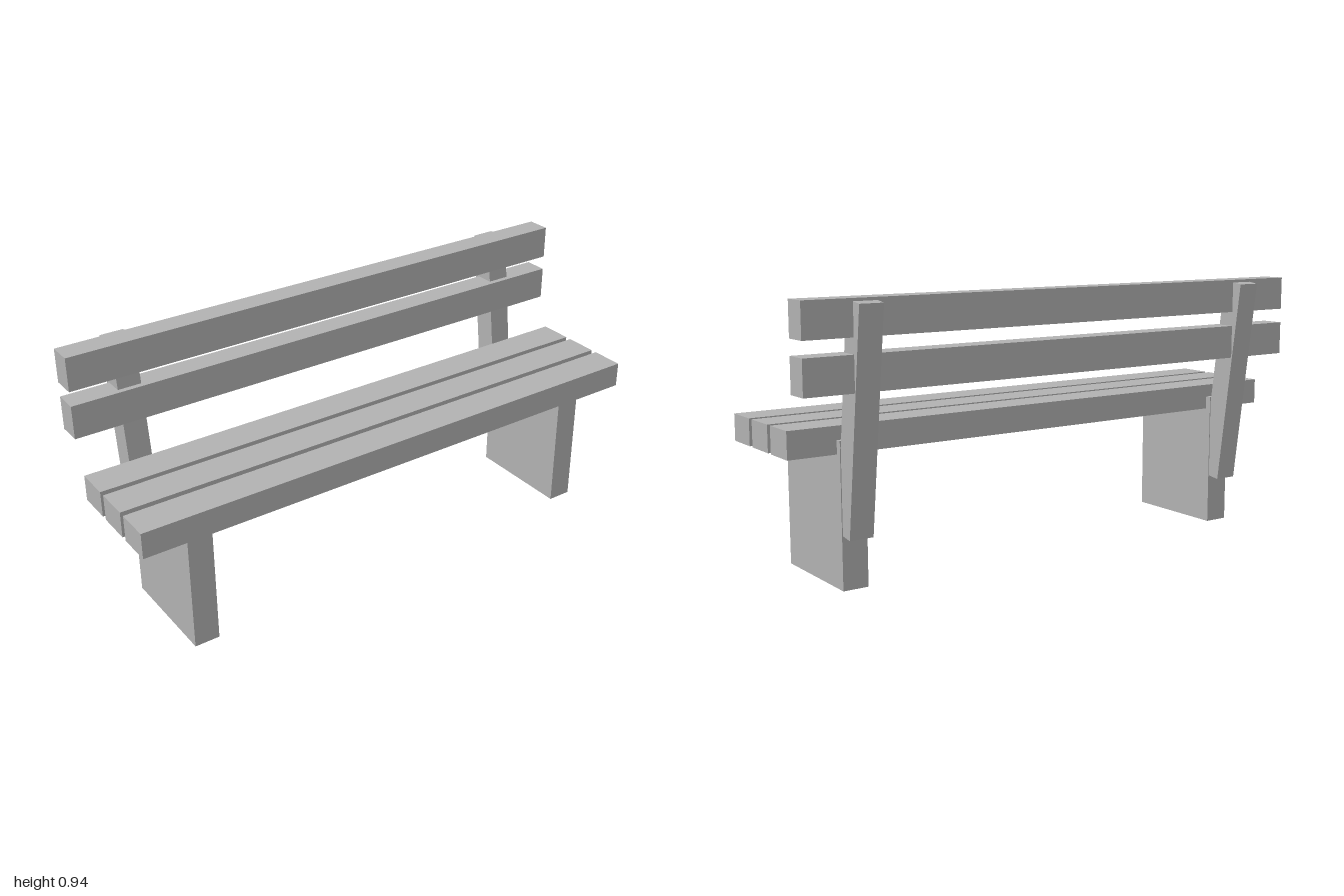
import * as THREE from 'three';

export function createModel() {
  const bench = new THREE.Group();
  bench.name = 'bench';
  const grey = new THREE.MeshStandardMaterial({ color: 0xb2b2b2 });
  grey.name = 'grey';

  // Adds a named box from its size and centre
  function addBox(name, size, centre) {
    const mesh = new THREE.Mesh(new THREE.BoxGeometry(...size), grey);
    mesh.name = name;
    mesh.position.set(...centre);
    bench.add(mesh);
    return mesh;
  }

  // Three seat planks
  [0.228, 0.085, -0.058].forEach((z, i) =>
    addBox(`seatPlank${i + 1}`, [2, 0.092, 0.121], [0, 0.487, z]));

  // Two backrest planks
  [0.709, 0.88].forEach((y, i) =>
    addBox(`backPlank${i + 1}`, [2, 0.119, 0.085], [0, y, -0.2025]));

  // Slab legs and leaning back posts, mirrored
  for (const [side, s] of [['left', 1], ['right', -1]]) {
    addBox(`${side}Leg`, [0.09, 0.487, 0.392], [s * 0.786, 0.2435, 0.056]);
    const post = addBox(`${side}BackPost`, [0.084, 0.756, 0.084], [s * 0.786, 0.555, -0.194]);
    post.rotation.x = -0.13;
  }
  return bench;
}
